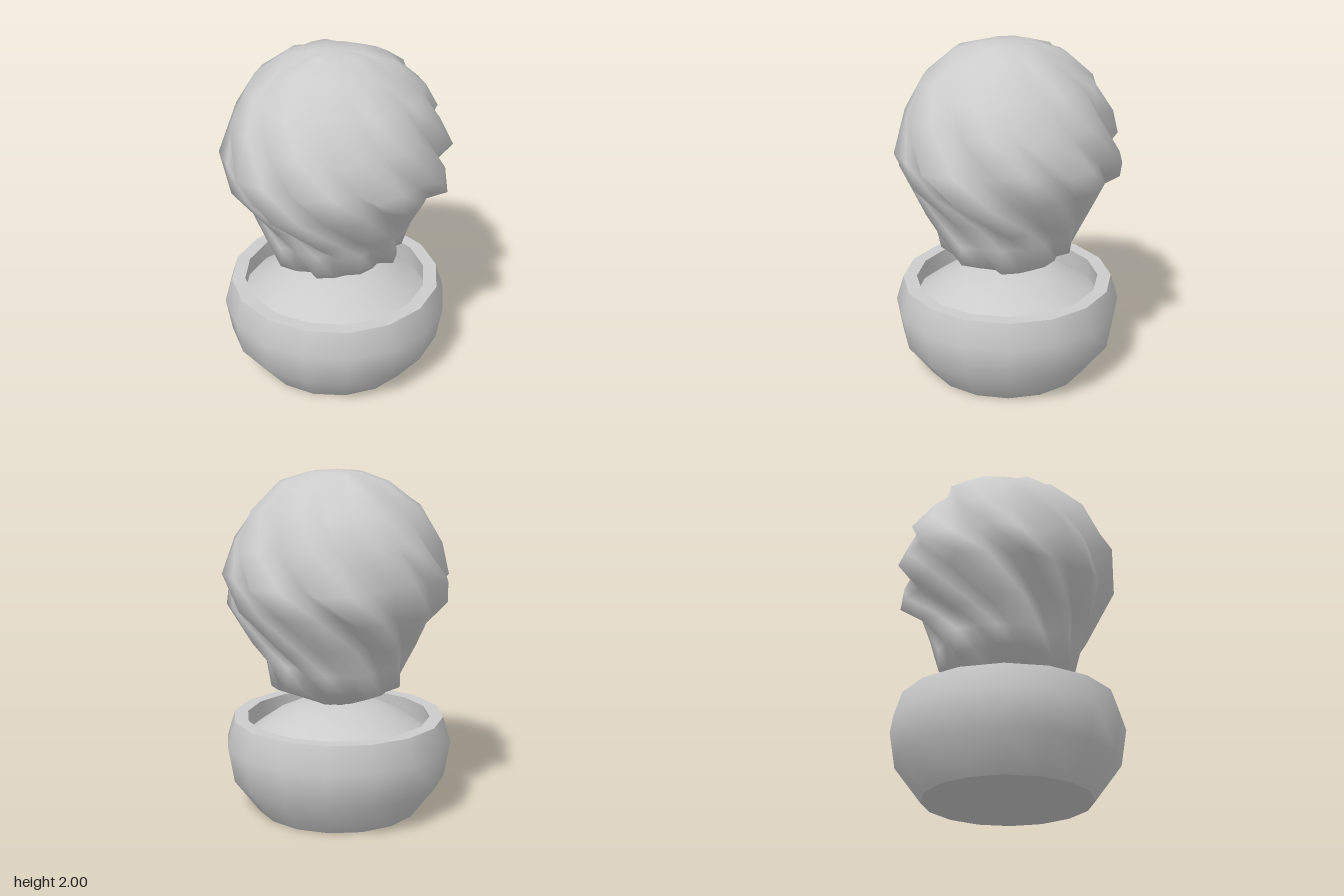
import * as THREE from 'three';
import { toCreasedNormals } from 'three/addons/utils/BufferGeometryUtils.js';

const material = new THREE.MeshStandardMaterial({ color: 0xcccccc, side: THREE.DoubleSide });

function lathe(name, profile, crease) {
  const points = profile.map(([r, y]) => new THREE.Vector2(r, y));
  const geometry = toCreasedNormals(new THREE.LatheGeometry(points, 16), crease);
  const mesh = new THREE.Mesh(geometry, material);
  mesh.name = name;
  mesh.position.x = -0.012;
  return mesh;
}

// Ball of twisted ribs: each ring is a sawtooth circle, turned further than the ring above.
function twistedBall() {
  const rings = [ // radius, height
    [0.13, 0.65], [0.38, 0.77], [0.41, 0.9], [0.47, 1.03], [0.6, 1.23], [0.64, 1.4],
    [0.58, 1.6], [0.49, 1.78], [0.32, 1.92], [0.16, 1.985],
  ];
  const ribs = 10, tooth = [1, 0.1, -1], columns = ribs * tooth.length;
  const position = [0, 0.64, 0], index = [];

  rings.forEach(([radius, y], j) => {
    const twist = -2.0 * (Math.min(y, 1.5) - 0.7) - 1.3 * Math.max(0, y - 1.5);
    const depth = 0.085 * radius * (y > 1.7 ? 0.5 : 1);
    for (let i = 0; i < columns; i++) {
      const rib = Math.floor(i / tooth.length);
      const vary = 0.75 + 0.35 * Math.sin(rib * 2.4 + 0.5);
      const r = radius - 0.01 + depth * vary * tooth[i % tooth.length];
      // the crest leans over the groove beside it
      const lean = i % tooth.length === 0 ? -0.05 : 0;
      const a = (i / columns) * Math.PI * 2 + twist + lean;
      const wobble = 0.02 * Math.sin(rib * 1.9 + j * 1.3);
      position.push(r * Math.sin(a), y + (j > 0 && j < 9 ? wobble : 0), r * Math.cos(a));
    }
  });
  const top = position.length / 3;
  position.push(0, 2, 0);

  const at = (j, i) => 1 + j * columns + (i % columns);
  for (let i = 0; i < columns; i++) {
    index.push(0, at(0, i + 1), at(0, i));
    for (let j = 0; j < rings.length - 1; j++) {
      index.push(at(j, i), at(j, i + 1), at(j + 1, i + 1));
      index.push(at(j, i), at(j + 1, i + 1), at(j + 1, i));
    }
    index.push(at(rings.length - 1, i), at(rings.length - 1, i + 1), top);
  }
  const geometry = new THREE.BufferGeometry();
  geometry.setAttribute('position', new THREE.Float32BufferAttribute(position, 3));
  geometry.setIndex(index);
  geometry.computeVertexNormals();
  const mesh = new THREE.Mesh(geometry, material);
  mesh.name = 'twistedBall';
  return mesh;
}

export function createModel() {
  const model = new THREE.Group();
  model.name = 'pottedTwistedBall';

  // Thick-walled bowl with a flat rim
  model.add(lathe('bowl', [
    [0, 0], [0.48, 0], [0.63, 0.2], [0.665, 0.41], [0.62, 0.56], [0.54, 0.56], [0.55, 0.42],
  ], 0.85));

  // Domed filling inside the bowl
  model.add(lathe('mound', [
    [0.55, 0.44], [0.38, 0.56], [0.25, 0.62], [0.12, 0.645], [0, 0.65],
  ], 0.85));

  model.add(twistedBall());
  return model;
}
